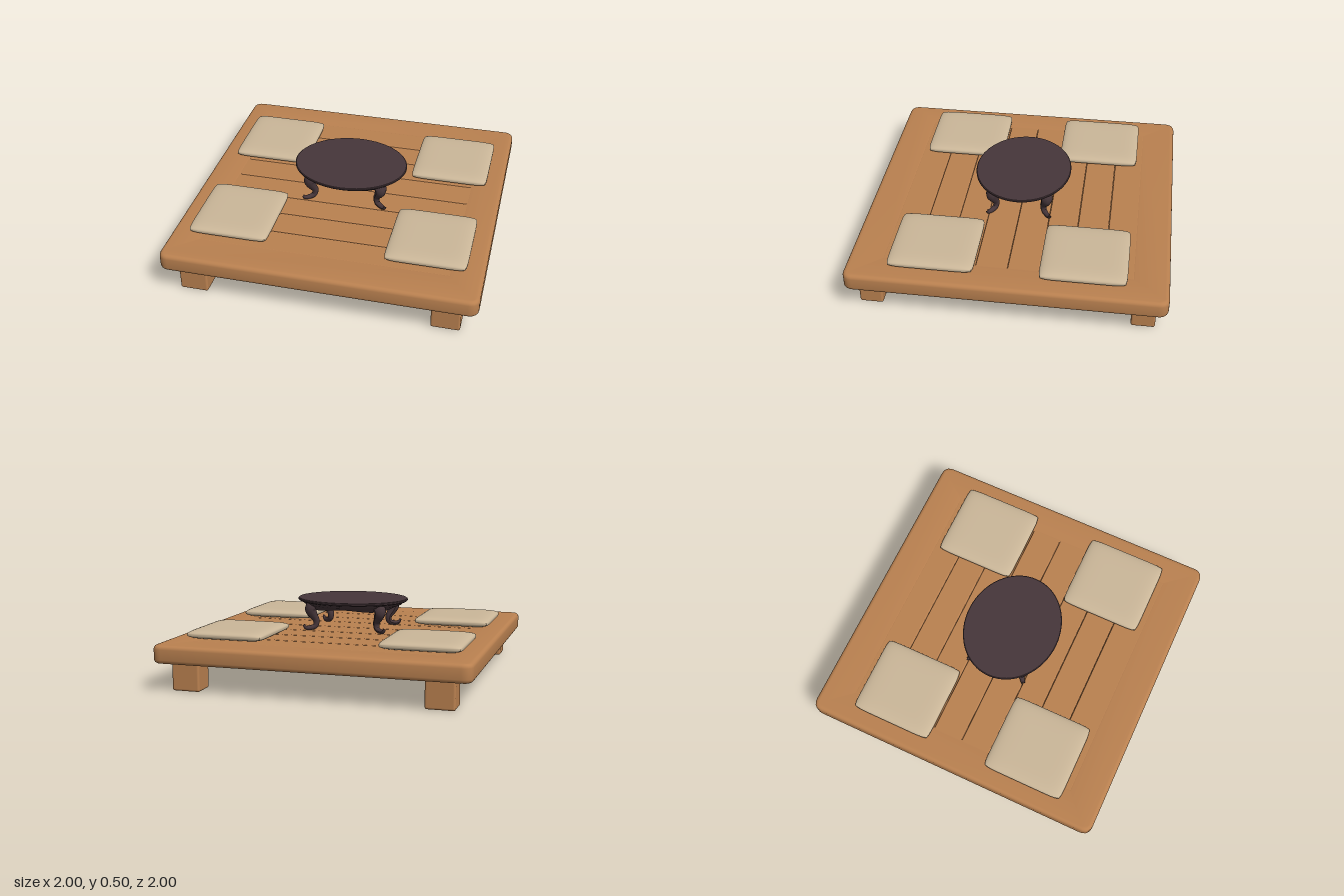
import * as THREE from 'three';
import { mergeVertices, toCreasedNormals } from 'three/addons/utils/BufferGeometryUtils.js';
import { RoundedBoxGeometry } from 'three/addons/geometries/RoundedBoxGeometry.js';

const material = (name, color) => new THREE.MeshStandardMaterial({ name, color });

function addMesh(parent, name, geometry, mat, x = 0, y = 0, z = 0) {
  const mesh = new THREE.Mesh(geometry, mat);
  mesh.name = name;
  mesh.position.set(x, y, z);
  parent.add(mesh);
  return mesh;
}

// Rounded rectangle outline, centred on the origin
function roundedRect(Target, hw, hh, r) {
  const s = new Target();
  s.moveTo(-hw + r, -hh);
  s.lineTo(hw - r, -hh);
  s.quadraticCurveTo(hw, -hh, hw, -hh + r);
  s.lineTo(hw, hh - r);
  s.quadraticCurveTo(hw, hh, hw - r, hh);
  s.lineTo(-hw + r, hh);
  s.quadraticCurveTo(-hw, hh, -hw, hh - r);
  s.lineTo(-hw, -hh + r);
  s.quadraticCurveTo(-hw, -hh, -hw + r, -hh);
  return s;
}

// Border of the platform, softened on its outer edges
function frameGeometry() {
  const bevel = 0.025;
  const shape = roundedRect(THREE.Shape, 1 - bevel, 1 - bevel, 0.04);
  shape.holes.push(roundedRect(THREE.Path, 0.8, 0.785, 0.005));
  const geo = new THREE.ExtrudeGeometry(shape, {
    depth: 0.115 - 2 * bevel, bevelSize: bevel, bevelThickness: bevel, bevelSegments: 4, curveSegments: 5,
  });
  geo.rotateX(-Math.PI / 2).translate(0, 0.178 + bevel, 0);
  return toCreasedNormals(geo, 0.7);
}

// Pillow: a box thinned towards its seam
function cushionGeometry() {
  const geo = new THREE.BoxGeometry(2, 2, 2, 22, 4, 22);
  const p = geo.attributes.position;
  for (let i = 0; i < p.count; i++) {
    const u = Math.sin(p.getX(i) * Math.PI / 2);
    const v = Math.sin(p.getZ(i) * Math.PI / 2);
    const puff = Math.sqrt((1 - Math.abs(u) ** 7) * (1 - Math.abs(v) ** 7));
    p.setXYZ(i,
      0.257 * u * (1 - 0.035 * v ** 10),
      p.getY(i) * (0.006 + 0.024 * puff),
      0.27 * v * (1 - 0.035 * u ** 10));
  }
  geo.deleteAttribute('normal');
  geo.deleteAttribute('uv');
  const smooth = mergeVertices(geo);
  smooth.computeVertexNormals();
  return smooth;
}

// Oval top with a moulded apron that dips at the four legs
function tableTopGeometry() {
  const profile = [[0, 0.46], [0.25, 0.46], [0.268, 0.432], [0.29, 0.428], [0.305, 0.438], [0.318, 0.455],
    [0.335, 0.462], [0.345, 0.475], [0.365, 0.48], [0.375, 0.488], [0.375, 0.496], [0.37, 0.5], [0, 0.5]];
  const geo = new THREE.LatheGeometry(profile.map(([r, y]) => new THREE.Vector2(r, y)), 64);
  const p = geo.attributes.position;
  for (let i = 0; i < p.count; i++) {
    const y = p.getY(i);
    if (y < 0.45) p.setY(i, y + 0.008 * (1 + Math.cos(4 * Math.atan2(p.getZ(i), p.getX(i)))));
  }
  geo.scale(1, 1, 0.315 / 0.375);
  return toCreasedNormals(geo, 0.6);
}

// Curved leg running outwards along +x, with an upturned toe
function tableLegGeometry() {
  const path = new THREE.CatmullRomCurve3([[0.275, 0.47], [0.3, 0.435], [0.285, 0.395], [0.262, 0.355],
    [0.268, 0.32], [0.3, 0.308], [0.335, 0.31], [0.352, 0.332]].map(([x, y]) => new THREE.Vector3(x, y, 0)));
  const radii = [0.04, 0.04, 0.033, 0.024, 0.02, 0.017, 0.015, 0.007];
  const rows = 32, sides = 10;
  const geo = new THREE.TubeGeometry(path, rows, 1, sides, false);
  const p = geo.attributes.position;
  const v = new THREE.Vector3();
  for (let i = 0; i < p.count; i++) {
    const t = Math.floor(i / (sides + 1)) / rows;
    const k = Math.min(t * (radii.length - 1), radii.length - 1.001);
    const j = Math.floor(k);
    const radius = THREE.MathUtils.lerp(radii[j], radii[j + 1], k - j);
    const centre = path.getPointAt(t);
    v.fromBufferAttribute(p, i).sub(centre).multiplyScalar(radius).add(centre);
    p.setXYZ(i, v.x, v.y, v.z);
  }
  geo.computeVertexNormals();
  return geo;
}

export function createModel() {
  const model = new THREE.Group();
  model.name = 'lowTableOnPlatform';
  const wood = material('warmWood', 0xba8150);
  const cloth = material('beigeCloth', 0xcbb799);
  const dark = material('darkWood', 0x46363a);

  // Platform frame, planks and feet
  const platform = new THREE.Group();
  platform.name = 'platform';
  model.add(platform);
  addMesh(platform, 'platformFrame', frameGeometry(), wood);
  const seams = [-0.785, -0.595, -0.395, -0.2, 0, 0.2, 0.385, 0.585, 0.785];
  for (let i = 0; i < seams.length - 1; i++) {
    const width = seams[i + 1] - seams[i] - 0.002;
    const geo = new RoundedBoxGeometry(1.63, 0.113, width, 3, 0.009);
    addMesh(platform, 'plank', geo, wood, 0, 0.2355, (seams[i] + seams[i + 1]) / 2);
  }
  const foot = new RoundedBoxGeometry(0.183, 0.2, 0.15, 3, 0.014);
  const cushion = cushionGeometry();
  const leg = tableLegGeometry();

  // Oval table
  const table = new THREE.Group();
  table.name = 'table';
  model.add(table);
  addMesh(table, 'tableTop', tableTopGeometry(), dark);

  // One foot, cushion and table leg in each quarter
  for (const sx of [-1, 1]) {
    for (const sz of [-1, 1]) {
      addMesh(platform, 'platformFoot', foot, wood, sx * 0.803, 0.1, sz * 0.855);
      addMesh(model, 'cushion', cushion, cloth, sx * 0.632, 0.32, sz * 0.472);
      const tableLeg = addMesh(table, 'tableLeg', leg, dark);
      tableLeg.rotation.y = Math.atan2(-sz * 0.6, sx * 0.8);
    }
  }
  return model;
}
